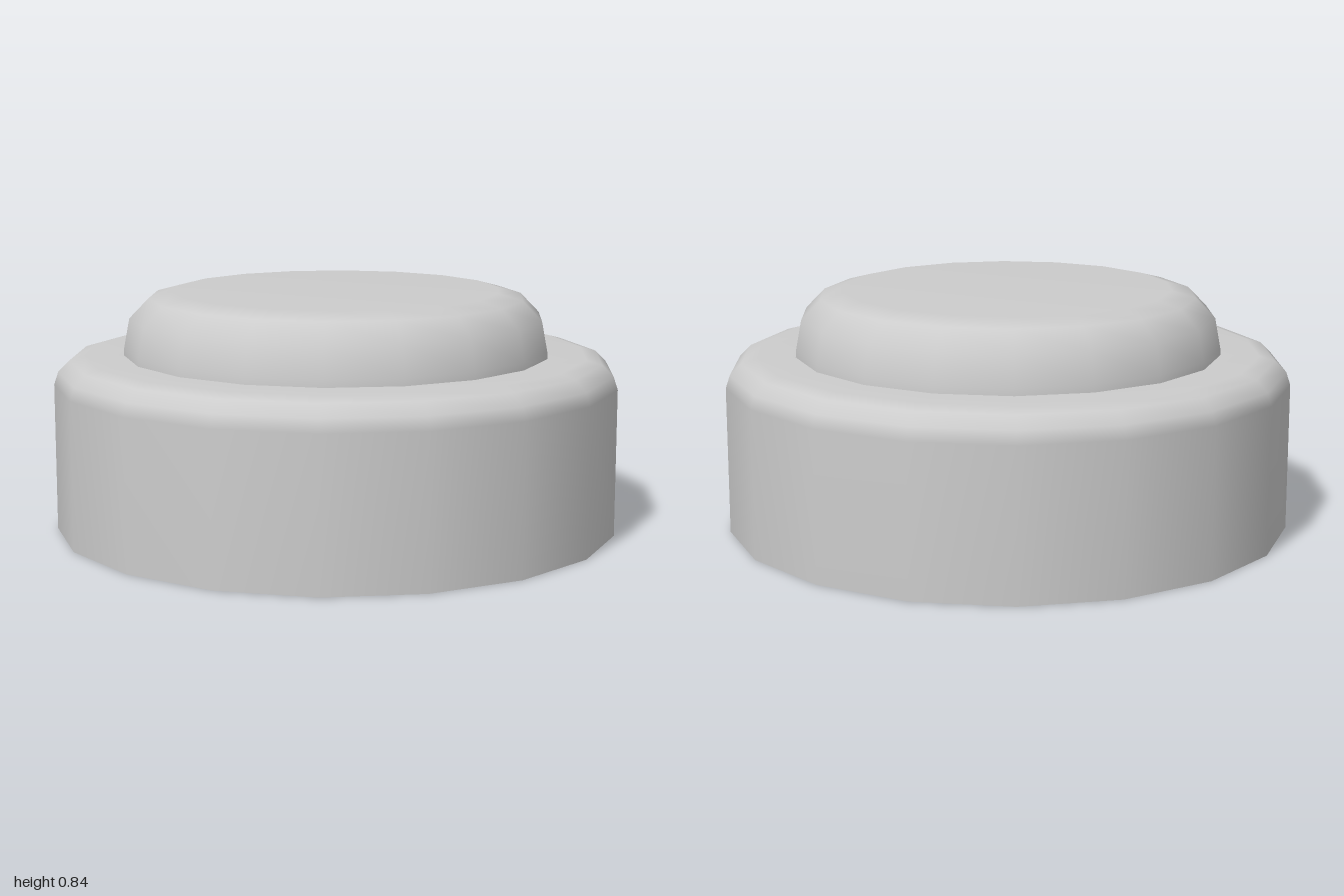
import * as THREE from 'three';

const SIDES = 18;
const material = new THREE.MeshStandardMaterial({ color: 0xcccccc });

// Turned part from [radius, height] pairs, listed bottom to top
function turned(name, profile) {
  const points = profile.map(([r, y]) => new THREE.Vector2(r, y));
  const mesh = new THREE.Mesh(new THREE.LatheGeometry(points, SIDES), material);
  mesh.name = name;
  return mesh;
}

export function createModel() {
  const group = new THREE.Group();
  group.name = 'pushButton';

  // Housing: straight wall, rounded shoulder, flat ledge under the cap
  group.add(turned('housing', [
    [1, 0], [1, 0.52], [0.985, 0.565], [0.945, 0.605], [0.89, 0.62], [0.7, 0.62],
  ]));

  // Flat underside, with a sharp edge to the wall
  group.add(turned('underside', [[0, 0], [1, 0]]));

  // Cap: sides curving in to a flat top
  group.add(turned('cap', [
    [0.755, 0.615], [0.753, 0.645], [0.733, 0.75], [0.665, 0.82], [0.58, 0.843], [0, 0.843],
  ]));

  return group;
}
